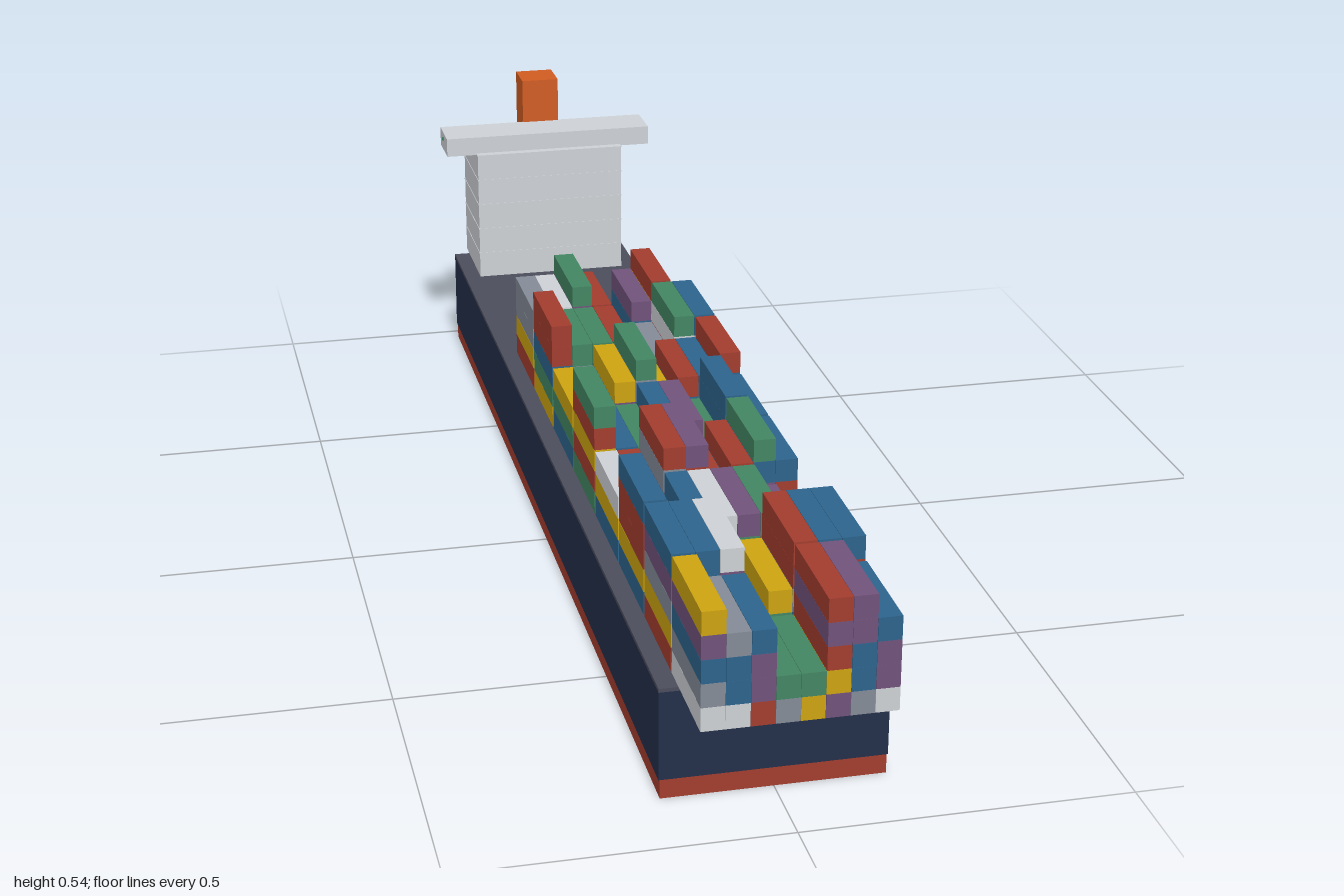
import * as THREE from 'three';

const mat = (name, color) => {
  const m = new THREE.MeshStandardMaterial({ color });
  m.name = name;
  return m;
};

export function createModel() {
  const ship = new THREE.Group();
  ship.name = 'containerShip';

  const M = {
    N: mat('navy', 0x232e49), R: mat('red', 0xa23c2e), D: mat('deckGrey', 0x4c4d5c),
    W: mat('white', 0xcdd1d5), O: mat('orange', 0xd05c22), Y: mat('yellow', 0xcca310),
    B: mat('blue', 0x2c638c), G: mat('green', 0x428562), P: mat('purple', 0x70527a),
    S: mat('steelGrey', 0x838b97),
  };

  // Box given by its low and high bounds
  const box = (name, key, [x0, x1], [y0, y1], [z0, z1], parent = ship) => {
    const mesh = new THREE.Mesh(new THREE.BoxGeometry(x1 - x0, y1 - y0, z1 - z0), M[key]);
    mesh.position.set((x0 + x1) / 2, (y0 + y1) / 2, (z0 + z1) / 2);
    mesh.name = name;
    parent.add(mesh);
    return mesh;
  };

  // Hull
  box('lowerHull', 'R', [-0.168, 0.168], [0, 0.03], [-0.97, 0.87]);
  box('upperHull', 'N', [-0.17, 0.17], [0.03, 0.171], [-0.97, 0.87]);
  box('deck', 'D', [-0.17, 0.17], [0.171, 0.177], [-0.97, 0.87]);

  // Accommodation block: five storeys, each with a thin floor lip
  const tower = new THREE.Group();
  tower.name = 'accommodation';
  ship.add(tower);
  const storey = 0.0496;
  for (let i = 0; i < 5; i++) {
    const y = 0.177 + i * storey;
    box('storey', 'W', [-0.141, 0.141], [y, y + storey - 0.002], [-0.999, -0.831], tower);
    box('floorLip', 'W', [-0.142, 0.142], [y + storey - 0.002, y + storey], [-1, -0.83], tower);
  }

  // Bridge with wings, side lights and funnel
  box('bridge', 'W', [-0.198, 0.198], [0.422, 0.457], [-0.928, -0.845]);
  box('leftLight', 'R', [0.198, 0.201], [0.443, 0.449], [-0.889, -0.883]);
  box('rightLight', 'G', [-0.201, -0.198], [0.443, 0.449], [-0.889, -0.883]);
  box('funnel', 'O', [-0.035, 0.035], [0.425, 0.54], [-0.995, -0.925]);

  // Container stacks: bays from bow to stern, stacks from right (-x) to left (+x),
  // each word listing the colours from the deck up
  const bays = [
    'WSBPY WBBS RPPB SG YG PYRPR SBBPP WPPB',
    'RYSPB BSRBB GRBPW BR SGY RBSRR GRBPB RBRRB',
    'BYRRB RGS YPBB GBWW BRGP SBRG RBP RR',
    'BYW GSR RBPSR BPGRP YBR GRBR SBPBG SRRB',
    'GRYRG BPB RGG SBRB GBRP PRG RGBBB GGBB',
    'BGY RYS BRPY PGBSG YRY RSBR GPGB SBRBR',
    'YGBRR PBGG SRBG BPYR GRG YBS BPRWG BSBWB',
    'RYSS RBYW YRBPG BRYR RB SYBP RYPYR RY',
  ];
  const cargo = new THREE.Group();
  cargo.name = 'cargo';
  ship.add(cargo);
  const pitchX = 0.0354, pitchY = 0.0366, pitchZ = 0.1785;
  const crate = new THREE.BoxGeometry(0.0349, 0.0364, 0.172);
  bays.forEach((bay, b) => bay.split(' ').forEach((stack, s) => [...stack].forEach((key, t) => {
    const mesh = new THREE.Mesh(crate, M[key]);
    mesh.name = 'container';
    mesh.position.set((s - 3.5) * pitchX, 0.177 + (t + 0.5) * pitchY, 0.914 - b * pitchZ);
    cargo.add(mesh);
  })));

  return ship;
}
